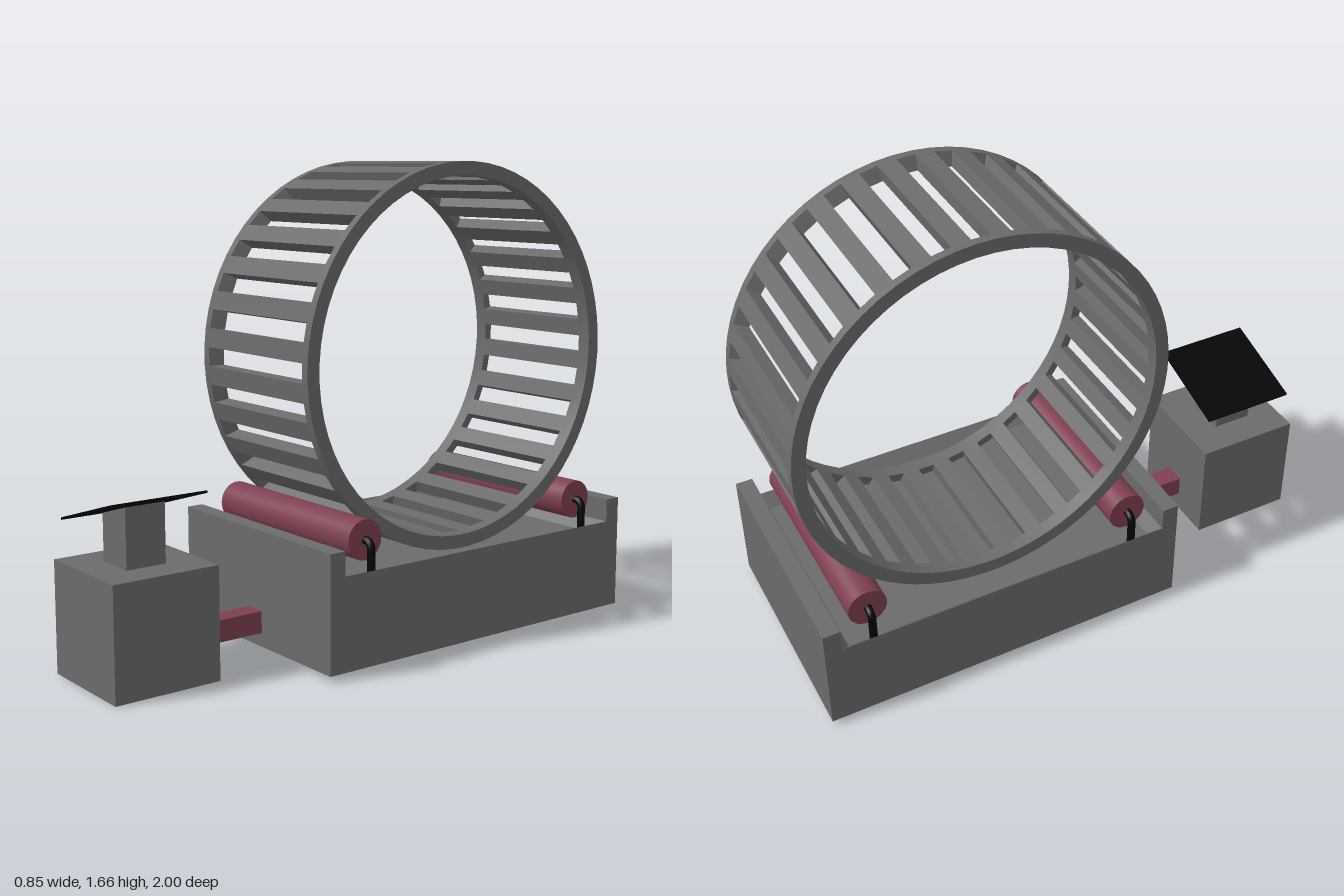
import * as THREE from 'three';
import { toCreasedNormals } from 'three/addons/utils/BufferGeometryUtils.js';

const grey = new THREE.MeshStandardMaterial({ color: 0x6b6b6b });
const red = new THREE.MeshStandardMaterial({ color: 0x7e4050 });
const black = new THREE.MeshStandardMaterial({ color: 0x040404 });

function add(parent, name, geometry, material, x = 0, y = 0, z = 0) {
  const mesh = new THREE.Mesh(geometry, material);
  mesh.name = name;
  mesh.position.set(x, y, z);
  parent.add(mesh);
  return mesh;
}

// Box given by its limits on each axis
function block(parent, name, material, [x0, x1], [y0, y1], [z0, z1]) {
  return add(parent, name, new THREE.BoxGeometry(x1 - x0, y1 - y0, z1 - z0), material,
    (x0 + x1) / 2, (y0 + y1) / 2, (z0 + z1) / 2);
}

// Outline extruded symmetrically about its own plane
function prism(points, depth) {
  const shape = new THREE.Shape(points.map(([x, y]) => new THREE.Vector2(x, y)));
  return new THREE.ExtrudeGeometry(shape, { depth, bevelEnabled: false }).translate(0, 0, -depth / 2);
}

function createWheel() {
  const wheel = new THREE.Group();
  wheel.name = 'wheel';
  const R = 0.672, r = 0.624, slots = 32, half = Math.PI / (2 * slots);

  // Two rims, sloping inwards on the slot side
  const profile = [[R, 0.272], [R, 0.302], [r, 0.302], [r, 0.252], [R, 0.272]]
    .map(([x, y]) => new THREE.Vector2(x, y));
  for (const side of [-1, 1]) {
    const rim = new THREE.LatheGeometry(profile, slots * 2, half).rotateZ(-side * Math.PI / 2);
    add(wheel, side > 0 ? 'leftRim' : 'rightRim', toCreasedNormals(rim, 0.5), grey);
  }

  // Tread bars with radial sides, leaving equal slots between them
  const c = Math.cos(half), s = Math.sin(half);
  const bar = prism([[r * c, -r * s], [R * c, -R * s], [R * c, R * s], [r * c, r * s]], 0.546)
    .rotateY(Math.PI / 2);
  for (let i = 0; i < slots; i++) {
    add(wheel, 'treadBar', bar, grey).rotation.x = (2 * i + 1) * 2 * half;
  }
  wheel.position.set(0, 0.988, -0.327);
  return wheel;
}

function createBase() {
  const base = new THREE.Group();
  base.name = 'base';
  const middle = -0.327, length = 1.346, floor = 0.3;
  block(base, 'baseBody', grey, [-0.423, 0.423], [0.02, floor], [middle - length / 2, middle + length / 2]);

  // Low sloped edges along the sides
  const edge = prism([[0.38, floor], [0.423, floor], [0.423, 0.343]], length);
  // Raised walls across the ends
  const wall = prism([[-0.673, floor], [-0.575, floor], [-0.612, 0.343], [-0.612, 0.426], [-0.673, 0.426]], 0.846)
    .rotateY(-Math.PI / 2);
  for (const turn of [0, Math.PI]) {
    add(base, 'sideEdge', edge, grey, 0, 0, middle).rotation.y = turn;
    add(base, 'endWall', wall, grey, 0, 0, middle).rotation.y = turn;
  }
  return base;
}

function createRoller(z) {
  const roller = new THREE.Group();
  roller.name = 'rollerAssembly';
  add(roller, 'roller', new THREE.CylinderGeometry(0.069, 0.069, 0.746, 32).rotateZ(Math.PI / 2), red);

  // Bent axle brackets reaching down to the base
  for (const side of [-1, 1]) {
    const path = new THREE.CurvePath();
    const v = (x, y) => new THREE.Vector3(side * x, y, 0);
    path.add(new THREE.LineCurve3(v(0.34, 0), v(0.378, 0)));
    path.add(new THREE.QuadraticBezierCurve3(v(0.378, 0), v(0.406, 0), v(0.406, -0.03)));
    path.add(new THREE.LineCurve3(v(0.406, -0.03), v(0.406, -0.115)));
    add(roller, 'axleBracket', new THREE.TubeGeometry(path, 24, 0.014, 12), black);
  }
  roller.position.set(0, 0.435, z);
  return roller;
}

function createControlBox() {
  const control = new THREE.Group();
  control.name = 'controlBox';
  block(control, 'housing', grey, [-0.194, 0.19], [0, 0.386], [0.615, 1]);

  // Post with a slanted top under the tilted panel
  const post = prism([[-0.075, 0.38], [0.071, 0.38], [0.071, 0.59], [-0.075, 0.546]], 0.144);
  add(control, 'panelPost', post, grey, 0, 0, 0.812);
  const panel = add(control, 'panel', new THREE.BoxGeometry(0.344, 0.008, 0.348), black, -0.009, 0.572, 0.807);
  panel.rotation.z = 0.295;
  return control;
}

export function createModel() {
  const model = new THREE.Group();
  model.name = 'runningWheel';
  model.add(createWheel(), createBase(), createRoller(0.165), createRoller(-0.821), createControlBox());
  block(model, 'connectingBar', red, [-0.04, 0.038], [0.069, 0.146], [0.34, 0.62]);
  return model;
}
